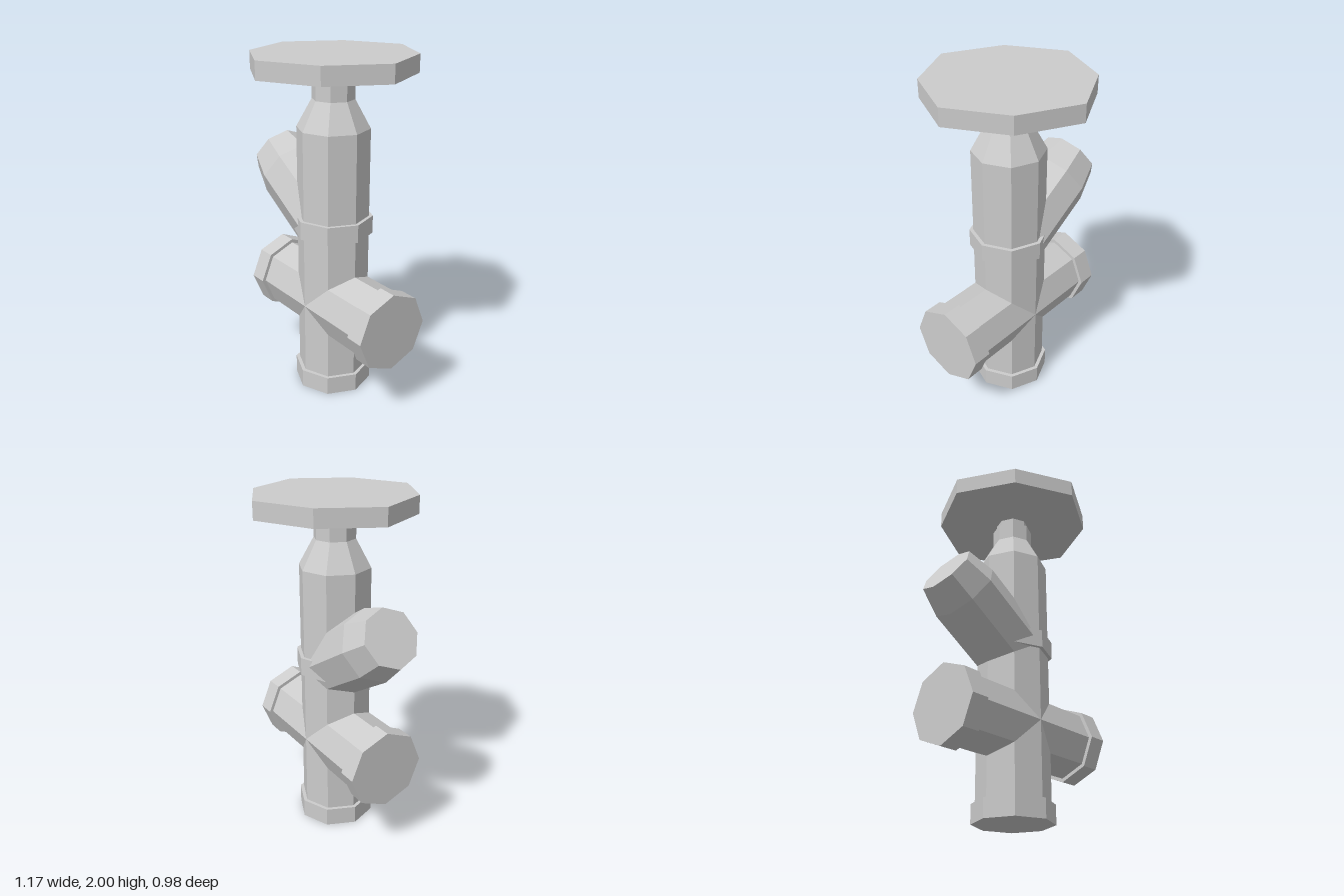
import * as THREE from 'three';

const material = new THREE.MeshStandardMaterial({ color: 0xcccccc, flatShading: true });

// Closed eight-sided turned part; profile is [radius, height] from bottom to top
function turned(name, profile) {
  const points = [[0, profile[0][1]], ...profile, [0, profile[profile.length - 1][1]]];
  const geometry = new THREE.LatheGeometry(points.map(([r, y]) => new THREE.Vector2(r, y)), 8);
  const mesh = new THREE.Mesh(geometry, material);
  mesh.name = name;
  return mesh;
}

const ring = (name, r, y0, y1) => turned(name, [[r, y0], [r, y1]]);

export function createModel() {
  const model = new THREE.Group();
  model.name = 'pipeValve';
  const axisX = 0.05;

  // Upright pipe with tapered neck and stem
  const upright = new THREE.Group();
  upright.name = 'uprightPipe';
  upright.position.x = axisX;
  upright.add(
    turned('body', [[0.208, 0.01], [0.208, 1.59], [0.12, 1.75], [0.12, 1.855]]),
    ring('stem', 0.1, 1.84, 1.91),
    ring('baseFlange', 0.23, 0, 0.11),
    ring('collar', 0.23, 0.975, 1.08)
  );

  // Handwheel: octagon with its diagonal corners pulled in slightly
  const wheel = ring('handwheel', 0.49, 1.9, 2);
  const pos = wheel.geometry.attributes.position;
  for (let i = 0; i < pos.count; i++) {
    const x = pos.getX(i), z = pos.getZ(i);
    if (Math.abs(x) > 0.1 && Math.abs(z) > 0.1) pos.setXYZ(i, x * 0.935, pos.getY(i), z * 0.935);
  }
  wheel.geometry.computeVertexNormals();
  upright.add(wheel);
  model.add(upright);

  // Cross pipe with a flange at each end
  const cross = new THREE.Group();
  cross.name = 'crossPipe';
  cross.position.set(axisX, 0.543, 0);
  cross.rotation.z = -Math.PI / 2;
  cross.add(
    ring('crossBody', 0.208, -0.53, 0.53),
    ring('rightFlange', 0.23, -0.54, -0.43),
    ring('leftFlange', 0.23, 0.43, 0.54)
  );
  model.add(cross);

  // Slanted side branch, narrowing at its free end
  const branch = turned('sideBranch', [[0.208, 0], [0.208, 0.47], [0.168, 0.64]]);
  branch.position.set(axisX, 1.005, 0);
  branch.rotation.z = Math.PI / 3 - 0.02;
  model.add(branch);

  return model;
}
